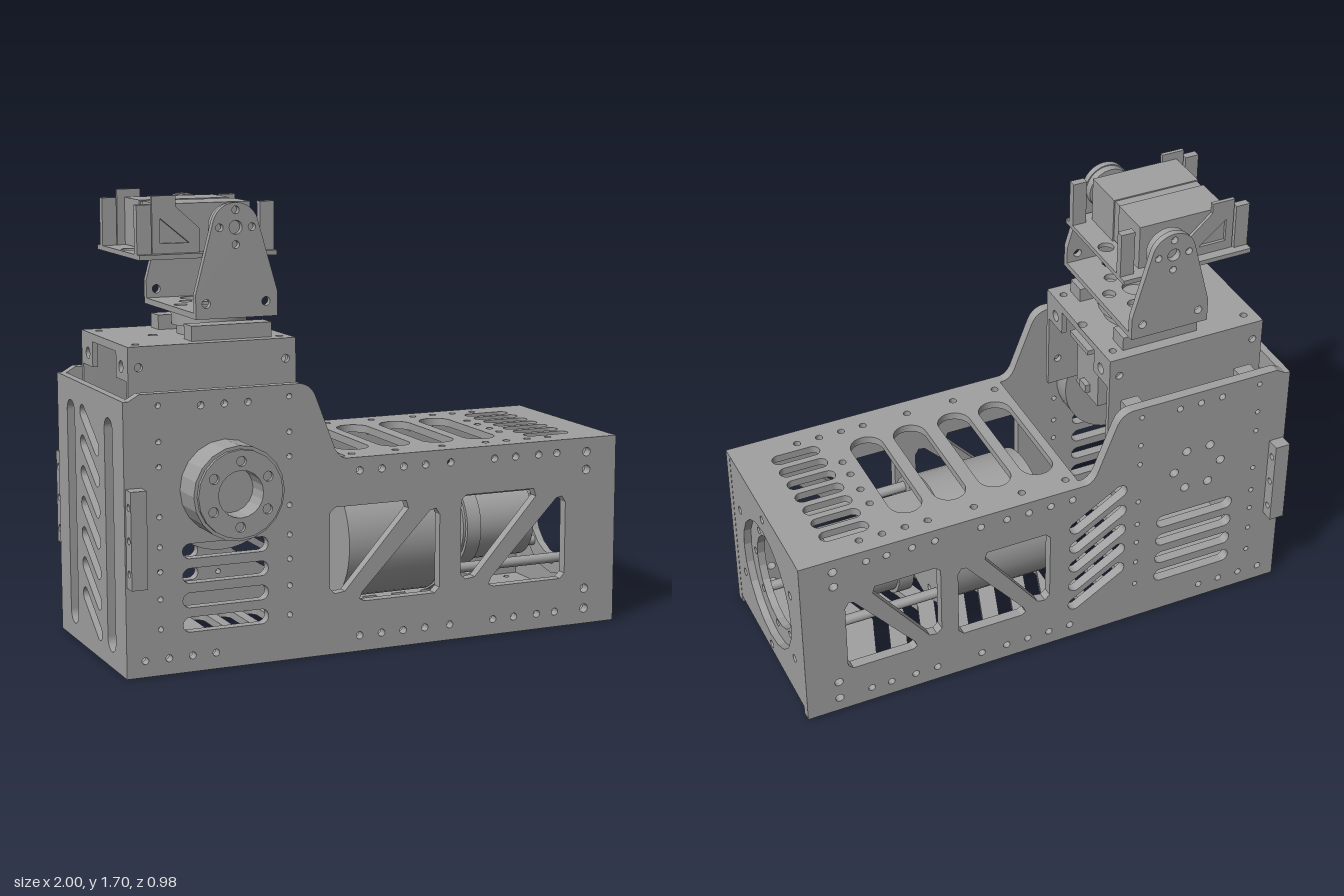
import * as THREE from 'three';

const grey = new THREE.MeshStandardMaterial({ color: 0xa0a0a0 });
grey.name = 'machined grey';
const ZC = -0.05; // centre plane of the chassis

// ---- helpers ----
function add(parent, name, geo, x = 0, y = 0, z = 0) {
  const m = new THREE.Mesh(geo, grey);
  m.name = name;
  m.position.set(x, y, z);
  parent.add(m);
  return m;
}
// box given by its limits
function box(parent, name, x0, x1, y0, y1, z0, z1) {
  return add(parent, name, new THREE.BoxGeometry(x1 - x0, y1 - y0, z1 - z0), (x0 + x1) / 2, (y0 + y1) / 2, (z0 + z1) / 2);
}
function cyl(parent, name, r, len, axis, x, y, z) {
  const g = new THREE.CylinderGeometry(r, r, len, 40);
  if (axis === 'x') g.rotateZ(-Math.PI / 2);
  if (axis === 'z') g.rotateX(Math.PI / 2);
  return add(parent, name, g, x, y, z);
}
const circle = (x, y, r) => new THREE.Path().absarc(x, y, r, 0, Math.PI * 2, true);
const poly = (pts) => new THREE.Path(pts.map(([x, y]) => new THREE.Vector2(x, y)));
// round-ended slot
function slot(x, y, len, w, a = 0) {
  const p = new THREE.Path(), h = (len - w) / 2, c = Math.cos(a) * h, s = Math.sin(a) * h;
  p.absarc(x + c, y + s, w / 2, a - Math.PI / 2, a + Math.PI / 2, false);
  p.absarc(x - c, y - s, w / 2, a + Math.PI / 2, a + Math.PI * 1.5, false);
  p.closePath();
  return p;
}
const rect = (x0, x1, y0, y1) => [[x0, y0], [x1, y0], [x1, y1], [x0, y1]];
// sheet cut from an outline; plane 'z' faces front, 'y' faces up (shape y = z), 'x' faces right (shape x = z)
function plate(parent, name, outline, holes, t, plane, at) {
  const s = Array.isArray(outline) ? new THREE.Shape(outline.map(([x, y]) => new THREE.Vector2(x, y))) : outline;
  s.holes.push(...holes);
  const g = new THREE.ExtrudeGeometry(s, { depth: t, bevelEnabled: false, curveSegments: 10 });
  if (plane === 'y') g.rotateX(Math.PI / 2);
  if (plane === 'x') g.rotateY(-Math.PI / 2);
  return add(parent, name, g, plane === 'x' ? at : 0, plane === 'y' ? at : 0, plane === 'z' ? at : 0);
}
const disc = (x, y, r) => new THREE.Shape().absarc(x, y, r, 0, Math.PI * 2, false);
const ringHoles = (x, y, R, n, r, a0 = 0) => Array.from({ length: n }, (_, i) => {
  const a = a0 + i * Math.PI * 2 / n;
  return circle(x + R * Math.cos(a), y + R * Math.sin(a), r);
});

// window split by a diagonal bar
function braced(x0, w) {
  const x1 = x0 + w, k = w / 0.45;
  return [
    poly([[x0, 0.25], [x0 + 0.02, 0.23], [x0 + 0.06 * k, 0.235], [x0 + 0.32 * k, 0.525], [x0 + 0.31 * k, 0.555], [x0 + 0.02, 0.555], [x0, 0.535]]),
    poly([[x0 + 0.12 * k, 0.2], [x0 + 0.14 * k, 0.19], [x1 - 0.02, 0.19], [x1, 0.21], [x1, 0.49], [x1 - 0.015, 0.515], [x1 - 0.04 * k, 0.51], [x0 + 0.13 * k, 0.225]]),
  ];
}
// holes common to both side plates
function sideHoles() {
  const h = [];
  for (const x of [-0.93, -0.84, -0.75, -0.66]) h.push(circle(x, 0.06, 0.013));
  for (const x of [-0.09, 0, 0.09, 0.18, 0.285, 0.47, 0.56, 0.66, 0.74]) for (const y of [0.06, 0.685]) h.push(circle(x, y, 0.014));
  for (const y of [0.06, 0.14, 0.61, 0.68]) h.push(circle(0.87, y, 0.017));
  for (const y of [0.17, 0.28, 0.38, 0.47, 0.58, 0.76, 0.85, 0.98]) for (const x of [-0.87, -0.37]) h.push(circle(x, y, 0.01));
  for (const x of [-0.71, -0.62, -0.53]) h.push(circle(x, 0.97, 0.013));
  for (let i = 0; i < 4; i++) h.push(slot(-0.62, 0.175 + i * 0.09, 0.33, 0.055));
  return h;
}

function chassis() {
  const g = new THREE.Group();
  g.name = 'chassis';
  const outline = () => {
    const s = new THREE.Shape();
    s.moveTo(-0.98, 0); s.lineTo(1, 0); s.lineTo(1, 0.735); s.lineTo(-0.14, 0.735);
    s.quadraticCurveTo(-0.17, 0.735, -0.19, 0.775);
    s.lineTo(-0.265, 0.97);
    s.quadraticCurveTo(-0.285, 1.02, -0.33, 1.023);
    s.lineTo(-0.94, 1.023); s.lineTo(-0.98, 1.0);
    return s;
  };
  plate(g, 'frontSidePlate', outline(), [...sideHoles(), ...braced(-0.21, 0.45), ...braced(0.33, 0.45)], 0.04, 'z', 0.295);
  const slats = [0, 1, 2, 3, 4].map((i) => slot(-0.2, 0.22 + i * 0.095, 0.27, 0.055, -0.55));
  plate(g, 'backSidePlate', outline(), [...sideHoles(), ...slats, ...braced(0.0, 0.38), ...braced(0.45, 0.38),
    ...ringHoles(-0.62, 0.67, 0.1, 6, 0.018)], 0.04, 'z', -0.435);

  // top sheet with cross slots and a vent field
  const top = [];
  for (const x of [-0.03, 0.143, 0.328, 0.505]) top.push(slot(x, -0.055, 0.49, 0.13, Math.PI / 2));
  for (let i = 0; i < 7; i++) top.push(slot(0.77, -0.3 + i * 0.082, 0.19, 0.055));
  for (const x of [-0.09, 0.09, 0.285, 0.47, 0.56, 0.65, 0.74]) for (const z of [-0.37, 0.26]) top.push(circle(x, z, 0.014));
  for (const z of [-0.19, -0.1, 0, 0.08]) top.push(circle(0.625, z, 0.014));
  plate(g, 'topPlate', rect(-0.13, 0.98, -0.395, 0.295), top, 0.03, 'y', 0.735);

  // floor sheet with chevrons and cross slots
  const floor = [];
  for (let i = 0; i < 6; i++) {
    const x = 0.66 - i * 0.13;
    floor.push(poly([[x, 0.19], [x - 0.08, ZC], [x, -0.29], [x - 0.06, -0.29], [x - 0.14, ZC], [x - 0.06, 0.19]]));
  }
  for (const x of [-0.17, -0.28, -0.39, -0.5]) floor.push(slot(x, ZC, 0.56, 0.07, Math.PI / 2));
  for (let i = 0; i < 16; i++) for (const z of [0.25, -0.35]) if (i < 9 || i > 12) floor.push(circle(0.9 - i * 0.118, z, 0.012));
  plate(g, 'floorPlate', rect(-0.98, 0.98, -0.395, 0.295), floor, 0.03, 'y', 0.03);

  // right end with the large motor opening
  const corners = [];
  for (const z of [-0.32, 0.22]) for (const y of [0.215, 0.525]) corners.push(circle(z, y, 0.016));
  plate(g, 'rightEndPlate', rect(-0.395, 0.295, 0.03, 0.735),
    [circle(ZC, 0.365, 0.255), ...corners, circle(ZC, 0.06, 0.016), circle(ZC, 0.68, 0.016)], 0.03, 'x', 0.999);

  // left end with long slots and slanted vents
  const left = [slot(0.17, 0.49, 0.86, 0.09, Math.PI / 2), slot(-0.27, 0.49, 0.86, 0.09, Math.PI / 2)];
  for (let i = 0; i < 7; i++) left.push(slot(ZC, 0.15 + i * 0.115, 0.25, 0.055, -0.6));
  plate(g, 'leftEndPlate', rect(-0.435, 0.335, 0, 1.0), left, 0.03, 'x', -0.97);

  // ears at the left corners
  for (const [a, b, n] of [[0.335, 0.39, 'frontEar'], [-0.487, -0.435, 'backEar']]) {
    plate(g, n, [[a, 0.335], [b, 0.335], [b, 0.69], [a, 0.69]],
      [0.39, 0.51, 0.63].map((y) => circle((a + b) / 2, y, 0.013)), 0.06, 'x', -0.935);
  }
  return g;
}

function motor() {
  const g = new THREE.Group();
  g.name = 'mainMotor';
  const y = 0.365;
  cyl(g, 'motorCan', 0.25, 0.4, 'x', 0.13, y, ZC);
  plate(g, 'motorFlange', disc(ZC, y, 0.255), ringHoles(ZC, y, 0.205, 8, 0.016, 0.39), 0.03, 'x', 0.37);
  cyl(g, 'motorNeck', 0.08, 0.12, 'x', 0.41, y, ZC);
  cyl(g, 'gearbox', 0.155, 0.31, 'x', 0.615, y, ZC);
  cyl(g, 'gearboxCollar', 0.17, 0.06, 'x', 0.5, y, ZC);
  cyl(g, 'shaftBoss', 0.055, 0.06, 'x', 0.79, y, ZC);
  plate(g, 'retainingRing', disc(ZC, y, 0.256), [circle(ZC, y, 0.185), ...ringHoles(ZC, y, 0.205, 8, 0.014)], 0.03, 'x', 0.97);
  for (let i = 0; i < 4; i++) {
    const a = Math.PI / 4 + i * Math.PI / 2;
    cyl(g, 'standoff', 0.02, 0.6, 'x', 0.66, y + 0.215 * Math.sin(a), ZC + 0.215 * Math.cos(a));
  }
  box(g, 'terminalBlock', 0.34, 0.5, 0.5, 0.56, -0.12, 0.02);
  return g;
}

function hub() {
  const g = new THREE.Group();
  g.name = 'sideHub';
  const x = -0.62, y = 0.67;
  plate(g, 'hubDrum', disc(x, y, 0.172), [circle(x, y, 0.085)], 0.14, 'z', 0.335);
  plate(g, 'hubFace', disc(x, y, 0.16), [circle(x, y, 0.085), ...ringHoles(x, y, 0.118, 6, 0.018, 0.5)], 0.015, 'z', 0.475);
  cyl(g, 'hubCore', 0.085, 0.06, 'z', x, y, 0.36);
  cyl(g, 'hubBearing', 0.24, 0.08, 'z', x, y, 0.255);
  return g;
}

function platform() {
  const g = new THREE.Group();
  g.name = 'platform';
  const holes = ringHoles(-0.53, ZC, 0.22, 6, 0.018);
  for (const x of [-0.89, -0.335]) for (const z of [-0.25, 0.16]) holes.push(circle(x, z, 0.014));
  plate(g, 'deck', rect(-0.94, -0.295, -0.31, 0.22), holes, 0.03, 'y', 1.175);
  for (const [z, n] of [[0.2, 'frontWall'], [-0.31, 'backWall']]) {
    plate(g, n, rect(-0.94, -0.295, 0.74, 1.145),
      [-0.9, -0.335].flatMap((x) => [circle(x, 1.1, 0.015), circle(x, 0.85, 0.015)]), 0.02, 'z', z);
  }
  // end tabs and guide rails
  for (const x of [-0.92, -0.295]) for (const [a, b] of [[0.09, 0.2], [-0.29, -0.18]]) {
    plate(g, 'endTab', rect(a, b, 1.05, 1.145), [circle((a + b) / 2, 1.097, 0.022)], 0.02, 'x', x);
  }
  for (const x of [-0.85, -0.37]) for (const z of [0.258, -0.353]) {
    box(g, 'guideRail', x - 0.035, x + 0.035, 0.74, 1.0, z - 0.025, z + 0.025);
  }
  // hanging pan servo
  box(g, 'panServo', -0.72, -0.34, 0.84, 1.14, -0.135, 0.042);
  box(g, 'panServoLugs', -0.8, -0.3, 1.08, 1.1, -0.12, 0.03);
  box(g, 'servoPlug', -0.341, -0.32, 0.865, 0.9, -0.07, -0.02);
  return g;
}

function head() {
  const g = new THREE.Group();
  g.name = 'panTiltHead';
  const cx = -0.53;
  cyl(g, 'panDisc', 0.14, 0.05, 'y', cx, 1.235, ZC);
  cyl(g, 'panPedestal', 0.12, 0.05, 'y', cx, 1.195, ZC);
  for (const z of [0.13, -0.225]) box(g, 'foot', -0.68, -0.37, 1.175, 1.23, z - 0.04, z + 0.04);

  // tilt yoke
  plate(g, 'yokeBase', rect(-0.685, -0.37, -0.325, 0.23),
    [circle(cx, ZC, 0.05), ...ringHoles(cx, ZC, 0.11, 6, 0.025), circle(cx, 0.14, 0.04), circle(cx, -0.24, 0.04)], 0.022, 'y', 1.282);
  for (const [z, n] of [[0.205, 'frontYokeArm'], [-0.325, 'backYokeArm']]) {
    const s = new THREE.Shape();
    s.moveTo(-0.685, 1.262); s.lineTo(-0.37, 1.262); s.lineTo(-0.37, 1.35);
    s.lineTo(cx + 0.085, 1.61);
    s.absarc(cx, 1.585, 0.089, 0.28, Math.PI - 0.28, false);
    s.lineTo(-0.685, 1.35);
    plate(g, n, s, [circle(cx, 1.585, 0.025), ...ringHoles(cx, 1.585, 0.062, 4, 0.014),
      circle(-0.645, 1.315, 0.016), circle(-0.415, 1.315, 0.016)], 0.025, 'z', z);
  }
  // tilt servos on their cradle
  box(g, 'tiltServoFront', -0.79, -0.44, 1.495, 1.67, -0.025, 0.145);
  box(g, 'tiltServoBack', -0.79, -0.44, 1.495, 1.67, -0.23, -0.065);
  box(g, 'servoSeam', -0.785, -0.445, 1.5, 1.665, -0.066, -0.024);
  plate(g, 'cradleFloor', rect(-0.88, -0.355, -0.28, 0.19), [circle(-0.835, ZC, 0.03), circle(-0.4, ZC, 0.03)], 0.018, 'y', 1.494);
  for (const [z, s] of [[0.175, 1], [-0.27, -1]]) {
    cyl(g, 'servoHorn', 0.085, 0.03, 'z', cx, 1.585, z + s * 0.015);
    cyl(g, 'servoSpline', 0.04, 0.05, 'z', cx, 1.585, z - s * 0.02);
  }
  for (const z of [0.15, -0.235]) {
    plate(g, 'cradleCheek', [[-0.82, 1.49], [-0.64, 1.49], [-0.64, 1.58], [-0.73, 1.66], [-0.73, 1.7], [-0.82, 1.7]],
      [poly([[-0.79, 1.53], [-0.68, 1.53], [-0.79, 1.62]])], 0.015, 'z', z - 0.007);
    for (const [a, b] of [[-0.88, -0.825], [-0.41, -0.355]]) {
      box(g, 'cradlePost', a, b, 1.49, 1.67, z - 0.015, z + 0.015);
    }
  }
  return g;
}

export function createModel() {
  const model = new THREE.Group();
  model.name = 'actuatorModule';
  model.add(chassis(), motor(), hub(), platform(), head());
  return model;
}
